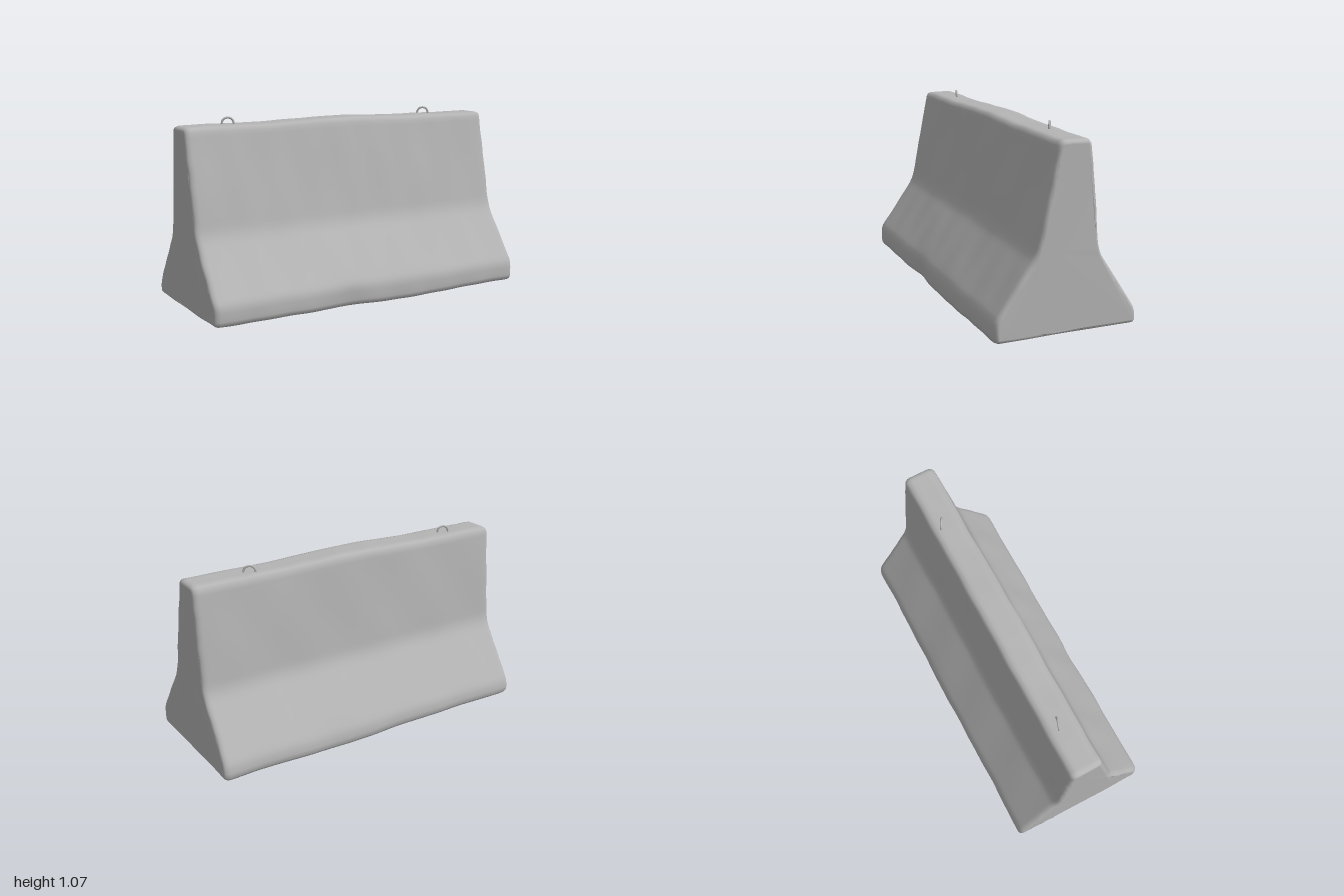
import * as THREE from 'three';
import { mergeVertices } from 'three/addons/utils/BufferGeometryUtils.js';

const concrete = new THREE.MeshStandardMaterial({ color: 0xb4b4b4 });
concrete.name = 'concrete grey';

// Closed outline as [z, y, corner radius], with the corners rounded
const PROFILE = [
  [0.41, 0.015, 0.025], [0.41, 0.13, 0.03], [0.18, 0.455, 0.05], [0.062, 1.038, 0.025],
  [-0.12, 1.038, 0.035], [-0.178, 0.44, 0.05], [-0.4, 0.1, 0.03], [-0.408, 0.015, 0.03],
];

function roundedOutline() {
  const path = new THREE.Path();
  const pts = PROFILE.map(([z, y]) => new THREE.Vector2(-z, y));
  const n = pts.length;
  const toward = (a, b, r) => b.clone().sub(a).setLength(r).add(a);
  pts.forEach((p, i) => {
    const r = PROFILE[i][2];
    const a = toward(p, pts[(i + n - 1) % n], r);
    const b = toward(p, pts[(i + 1) % n], r);
    if (i === 0) path.moveTo(a.x, a.y);
    else path.lineTo(a.x, a.y);
    path.quadraticCurveTo(p.x, p.y, b.x, b.y);
  });
  path.closePath();
  // even spacing, so the worn surface can ripple
  const outline = path.getSpacedPoints(130);
  outline.pop();
  return new THREE.Shape(outline);
}

// Smooth unevenness of cast concrete
const ripple = (x, y, z) =>
  0.5 * Math.sin(5.1 * x + 3.7 * y + 1.3) * Math.cos(4.3 * y - 6.1 * z)
  + 0.3 * Math.sin(13.7 * x - 9.1 * y + 5.3 * z)
  + 0.2 * Math.sin(27.1 * x + 17.3 * z + 8.0 * y);

function barrierGeometry() {
  const bevel = 0.035;
  const depth = 1.99 - 2 * bevel;
  let g = new THREE.ExtrudeGeometry(roundedOutline(), {
    depth, steps: 70, bevelEnabled: true, bevelThickness: bevel,
    bevelSize: 0.022, bevelOffset: -0.022, bevelSegments: 5,
  });
  g.translate(0, 0, -depth / 2);
  g.rotateY(Math.PI / 2);
  g.deleteAttribute('uv');
  g.deleteAttribute('normal');
  g = mergeVertices(g, 1e-4);

  const p = g.attributes.position;
  for (let i = 0; i < p.count; i++) {
    const x = p.getX(i), y = p.getY(i), z = p.getZ(i);
    // slight crown on top, slight sag underneath
    const top = THREE.MathUtils.smoothstep(y, 0.7, 1.03);
    const base = 1 - THREE.MathUtils.smoothstep(y, 0.02, 0.2);
    const crown = 0.010 * Math.exp(-((x + 0.03) ** 2) / 0.08) - 0.003;
    const sag = 0.010 * Math.exp(-((x - 0.25) ** 2) / 0.08);
    // shallow worn notch along the lower front edge
    const notch = z > 0.3 ? 0.014 * Math.exp(-((x + 0.18) ** 2) / 0.008) * base : 0;
    p.setXYZ(i,
      x + 0.004 * ripple(y * 2, z * 2, x),
      Math.max(0, y + top * crown - base * sag + 0.003 * ripple(x, z, y)),
      z - notch + 0.005 * ripple(x, y, z));
  }
  g.computeVertexNormals();
  return g;
}

// Half-loop of bar, sunk into the top
function liftingLoop(x, z, turn) {
  const curve = new THREE.CatmullRomCurve3([
    [-0.028, -0.03], [-0.033, 0.012], [-0.022, 0.034], [0, 0.041],
    [0.022, 0.034], [0.033, 0.012], [0.028, -0.03],
  ].map(([u, v]) => new THREE.Vector3(u, v, 0)));
  const loop = new THREE.Mesh(new THREE.TubeGeometry(curve, 24, 0.006, 8), concrete);
  loop.position.set(x, 1.028, z);
  loop.rotation.y = turn;
  return loop;
}

export function createModel() {
  const model = new THREE.Group();
  model.name = 'concreteBarrier';

  const body = new THREE.Mesh(barrierGeometry(), concrete);
  body.name = 'barrierBody';
  model.add(body);

  const right = liftingLoop(-0.7, -0.043, -0.3);
  right.name = 'rightLiftingLoop';
  const left = liftingLoop(0.63, -0.058, -0.5);
  left.name = 'leftLiftingLoop';
  model.add(right, left);
  return model;
}
